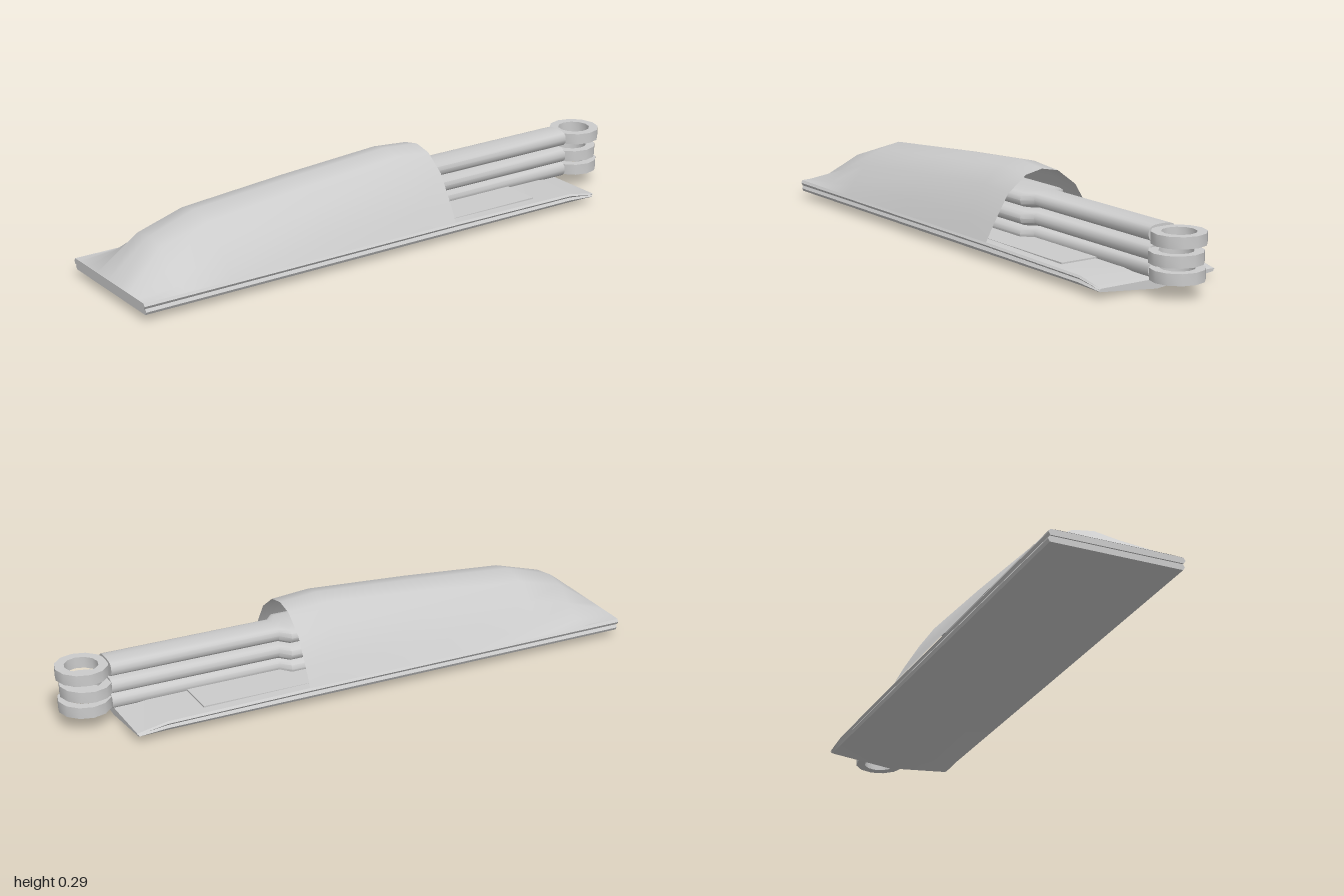
import * as THREE from 'three';
import { toCreasedNormals } from 'three/addons/utils/BufferGeometryUtils.js';

const grey = new THREE.MeshStandardMaterial({ color: 0xcccccc });
const greyBoth = new THREE.MeshStandardMaterial({ color: 0xcccccc, side: THREE.DoubleSide });

// Skin over cross-sections ordered by rising z; points run counter-clockwise seen from +z.
function loft(stations, closed) {
  const n = stations[0].pts.length;
  const pos = stations.flatMap(({ z, pts }) => pts.flatMap(([x, y]) => [x, y, z]));
  const idx = [];
  for (let i = 0; i < stations.length - 1; i++) {
    for (let j = 0; j < (closed ? n : n - 1); j++) {
      const k = (j + 1) % n;
      const a = i * n + j, b = i * n + k, c = b + n, d = a + n;
      idx.push(a, b, d, b, c, d);
    }
  }
  if (closed) {
    const last = (stations.length - 1) * n;
    for (let j = 1; j < n - 1; j++) {
      idx.push(0, j + 1, j, last, last + j, last + j + 1);
    }
  }
  const g = new THREE.BufferGeometry();
  g.setAttribute('position', new THREE.Float32BufferAttribute(pos, 3));
  g.setIndex(idx);
  g.computeVertexNormals();
  return g;
}

// Right half from x = 0 outwards, mirrored to a full arch running from +x to -x.
const arch = (half) => [
  ...half.slice().reverse(),
  ...half.slice(1).map(([x, y]) => [-x, y]),
];

// Plate section with bulging sides and a centre line under it.
const plate = (z, keel, low, high) => {
  const mid = (low + high) / 2;
  return {
    z,
    pts: [[0, keel], [0.224, low], [0.23, mid], [0.224, high],
      [-0.224, high], [-0.23, mid], [-0.224, low]],
  };
};

export function createModel() {
  const model = new THREE.Group();
  const add = (name, geometry, material = grey, parent = model) => {
    const mesh = new THREE.Mesh(geometry, material);
    mesh.name = name;
    parent.add(mesh);
    return mesh;
  };

  // Bottom plate: flat at the front, shallow keel towards the back
  add('bottomPlate', toCreasedNormals(loft([
    plate(-0.81, 0, 0.022, 0.029),
    plate(-0.71, 0, 0.024, 0.041),
    plate(0, 0.002, 0.024, 0.045),
    plate(0.995, 0.025, 0.025, 0.045),
  ], true), 0.5));

  // Upper plate with a bevelled back end
  add('upperPlate', toCreasedNormals(loft([
    plate(-0.815, 0.029, 0.029, 0.034),
    plate(-0.71, 0.041, 0.041, 0.054),
    plate(-0.2, 0.045, 0.045, 0.06),
    plate(1, 0.045, 0.045, 0.065),
  ], true), 0.25));

  // Thin inset panel on the floor
  const panel = add('floorPanel', new THREE.BoxGeometry(0.38, 0.012, 0.97));
  panel.position.set(0, 0.055, -0.085);

  // Domed cover, open at the back and flattening out at the front
  const cover = [
    [-0.205, [[0, 0.28], [0.065, 0.267], [0.138, 0.212], [0.195, 0.118], [0.226, 0.06]]],
    [-0.07, [[0, 0.292], [0.065, 0.278], [0.14, 0.221], [0.196, 0.12], [0.226, 0.061]]],
    [0.3, [[0, 0.266], [0.072, 0.251], [0.142, 0.198], [0.197, 0.112], [0.226, 0.062]]],
    [0.68, [[0, 0.235], [0.082, 0.215], [0.145, 0.165], [0.199, 0.1], [0.226, 0.063]]],
    [0.85, [[0, 0.18], [0.075, 0.168], [0.132, 0.12], [0.19, 0.075], [0.226, 0.064]]],
    [1, [[0, 0.066], [0.075, 0.066], [0.132, 0.066], [0.19, 0.066], [0.224, 0.065]]],
  ].map(([z, half]) => ({ z, pts: arch(half) }));
  add('cover', loft(cover, false), greyBoth);

  // Three stacked bars, each flaring into a grip under the cover and ending in a ring
  const barSection = (z, w, h) => ({
    z,
    pts: Array.from({ length: 16 }, (_, i) => {
      const a = (i / 16) * Math.PI * 2, c = Math.cos(a), s = Math.sin(a);
      return [w * Math.sign(c) * Math.abs(c) ** 0.6, h * Math.sign(s) * Math.abs(s) ** 0.75];
    }),
  });
  const barGeometry = toCreasedNormals(loft([
    barSection(-0.83, 0.054, 0.028),
    barSection(-0.235, 0.054, 0.028),
    barSection(-0.205, 0.09, 0.03),
    barSection(0.1, 0.09, 0.03),
  ], true), 0.9);

  const ringProfile = [[0.056, -0.019], [0.088, -0.019], [0.088, 0.019], [0.056, 0.019], [0.056, -0.019]]
    .map(([r, y]) => new THREE.Vector2(r, y));
  const ringGeometry = toCreasedNormals(new THREE.LatheGeometry(ringProfile, 12), 0.6);

  [[0.069, -0.907], [0.122, -0.9], [0.184, -0.912]].forEach(([y, ringZ], i) => {
    const key = new THREE.Group();
    key.name = `key${i + 1}`;
    key.position.y = y;
    add('bar', barGeometry, grey, key);
    add('ring', ringGeometry, grey, key).position.z = ringZ;
    model.add(key);
  });

  return model;
}
